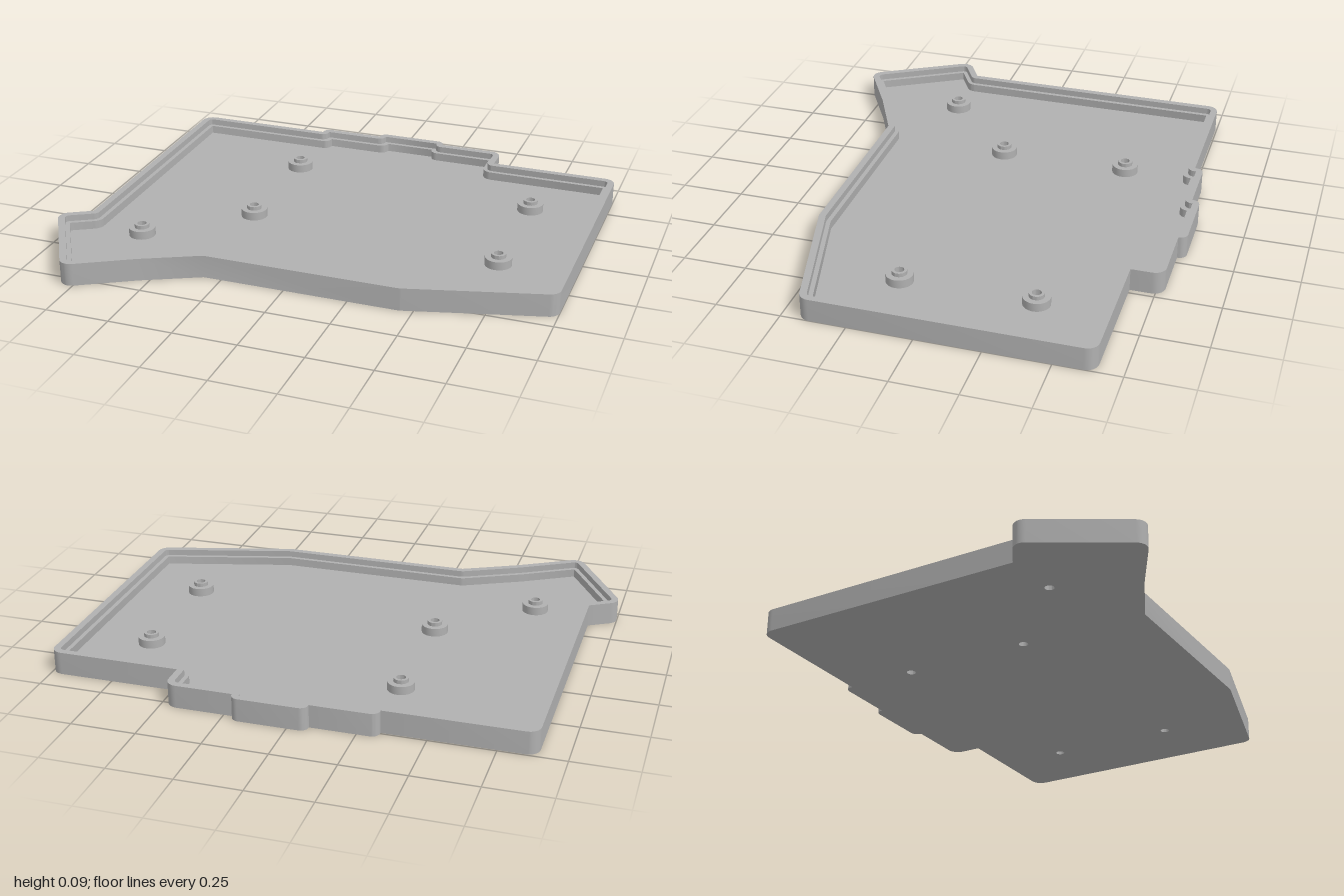
import * as THREE from 'three';
import { toCreasedNormals } from 'three/addons/utils/BufferGeometryUtils.js';

// Tray outline, counter-clockwise seen from above: x, z, corner radius
const OUTLINE = [
  [-0.895, -0.745, 0.045], [-0.895, 0.354, 0.045], [-1.016, 0.424, 0.045],
  [-0.786, 0.822, 0.045], [-0.54, 0.68, 0.045], [-0.32, 0.572, 0.045],
  [0.45, 0.572, 0.045], [1.0, 0.425, 0.045], [1.0, -0.655, 0.045],
  [0.48, -0.655, 0.045], [0.48, -0.78, 0.045],
  [0.215, -0.78, 0.03], [0.215, -0.812, 0.03], [-0.075, -0.812, 0.03], [-0.075, -0.78, 0.03],
  [-0.33, -0.78, 0.03], [-0.33, -0.745, 0.03],
];

const STANDOFFS = [[-0.327, -0.457], [0.708, -0.366], [-0.327, 0.059], [0.708, 0.152], [-0.673, 0.372]];

const HEIGHT = 0.09, LEDGE = 0.065, FLOOR = 0.032;
const RIM_WIDTH = 0.027, WALL_WIDTH = 0.044;
const HOLE_RADIUS = 0.018;

// Outline moved inward by d, with rounded corners (shape y is -z)
function outline(d) {
  const pts = OUTLINE.map(([x, z]) => new THREE.Vector2(x, -z));
  const count = pts.length;
  const normal = (a, b) => new THREE.Vector2(a.y - b.y, b.x - a.x).normalize();
  const result = [];
  pts.forEach((p, i) => {
    const n1 = normal(pts[(i + count - 1) % count], p);
    const n2 = normal(p, pts[(i + 1) % count]);
    const miter = n1.clone().add(n2).divideScalar(1 + n1.dot(n2));
    const turn = Math.atan2(n1.cross(n2), n1.dot(n2));
    const side = turn > 0 ? 1 : -1;
    const limit = OUTLINE[i][2];
    const r = side > 0 ? Math.max(limit - d, 0.003) : Math.min(d, limit);
    const centre = p.clone().addScaledVector(miter, d + side * r);
    const steps = r > 0 ? Math.max(1, Math.ceil(Math.abs(turn) / 0.2)) : 0;
    for (let k = 0; k <= steps; k++) {
      const n = n1.clone().rotateAround(new THREE.Vector2(), steps ? (turn * k) / steps : 0);
      result.push(centre.clone().addScaledVector(n, -side * r));
    }
  });
  return result;
}

// Upright slab from the ground to the given height
function slab(points, holes, height) {
  const shape = new THREE.Shape(points);
  shape.holes.push(...holes);
  const geometry = new THREE.ExtrudeGeometry(shape, { depth: height, bevelEnabled: false, curveSegments: 24 });
  geometry.rotateX(-Math.PI / 2);
  return toCreasedNormals(geometry, 0.5);
}

export function createModel() {
  const model = new THREE.Group();
  model.name = 'caseTray';
  const grey = new THREE.MeshStandardMaterial({ color: 0xb0b0b0 });
  grey.name = 'grey';

  const add = (name, geometry) => {
    const mesh = new THREE.Mesh(geometry, grey);
    mesh.name = name;
    model.add(mesh);
    return mesh;
  };

  const outer = outline(0), middle = outline(RIM_WIDTH), inner = outline(WALL_WIDTH);

  // Outer wall and the lower ledge just inside it
  add('outerWall', slab(outer, [new THREE.Path(middle)], HEIGHT));
  add('innerLedge', slab(middle, [new THREE.Path(inner)], LEDGE));

  // Floor pierced by the screw holes
  const screwHoles = STANDOFFS.map(([x, z]) => new THREE.Path().absarc(x, -z, HOLE_RADIUS, 0, Math.PI * 2, true));
  add('floor', slab(inner, screwHoles, FLOOR));

  // Stepped, hollow standoffs
  const profile = [
    [0.052, FLOOR], [0.052, LEDGE], [0.029, LEDGE], [0.029, 0.08], [HOLE_RADIUS, 0.08], [HOLE_RADIUS, FLOOR],
  ].map(([r, y]) => new THREE.Vector2(r, y));
  const standoff = toCreasedNormals(new THREE.LatheGeometry(profile, 32), 0.5);
  STANDOFFS.forEach(([x, z]) => add('standoff', standoff).position.set(x, 0, z));

  return model;
}
